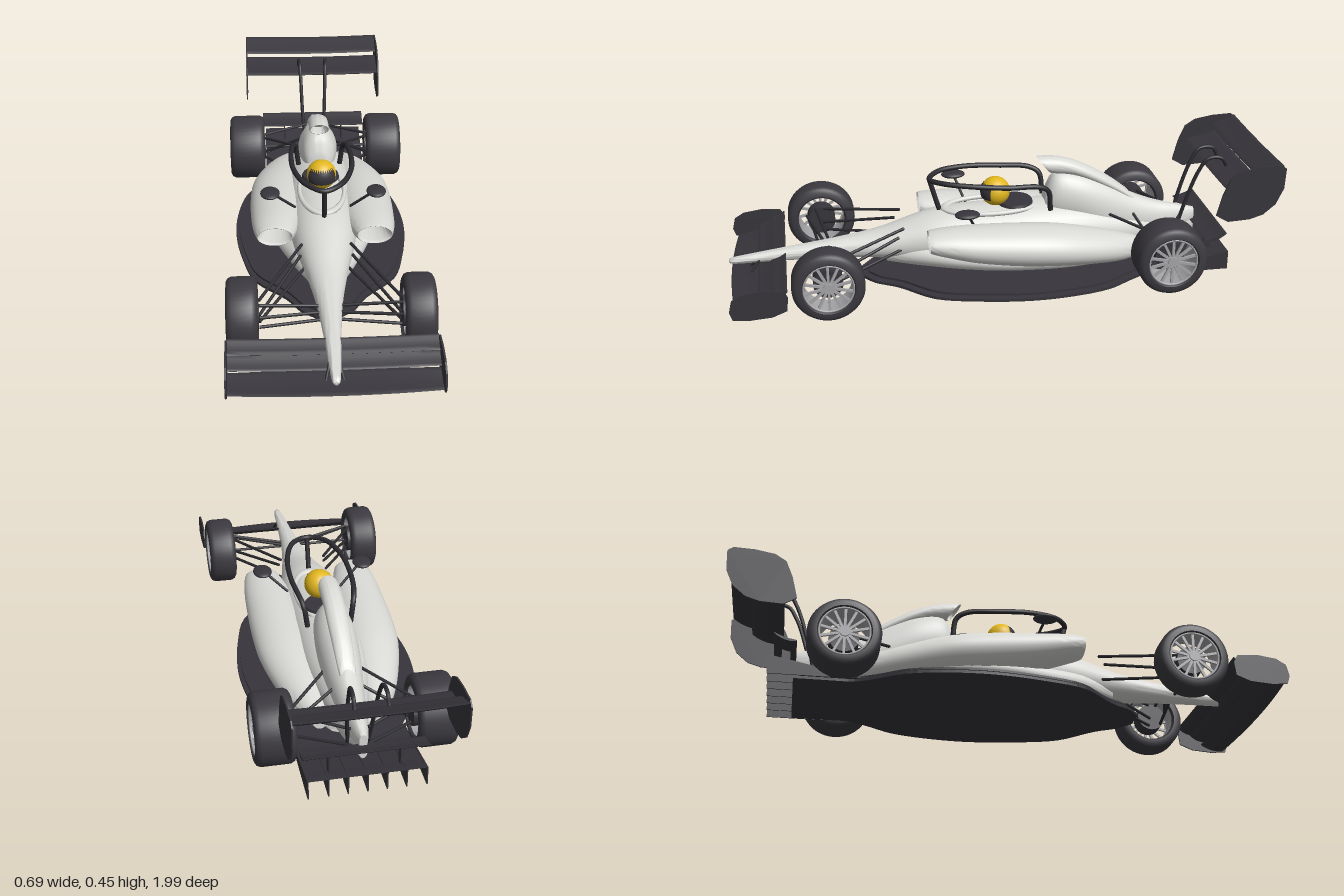
import * as THREE from 'three';
import { toCreasedNormals } from 'three/addons/utils/BufferGeometryUtils.js';

const V = (x, y, z) => new THREE.Vector3(x, y, z);
const SIDES = [-1, 1];

// Skin a series of closed loops, capped at both ends
function skin(rows, crease = 1.0) {
  const n = rows[0].length, pos = [], idx = [];
  rows.forEach(r => r.forEach(p => pos.push(p.x, p.y, p.z)));
  for (let i = 0; i < rows.length - 1; i++) for (let j = 0; j < n; j++) {
    const k = (j + 1) % n, a = i * n + j, b = i * n + k, c = a + n, d = b + n;
    idx.push(a, c, b, b, c, d);
  }
  [0, rows.length - 1].forEach((r, e) => {
    const m = rows[r].reduce((s, p) => s.add(p), V(0, 0, 0)).divideScalar(n);
    const id = pos.length / 3;
    pos.push(m.x, m.y, m.z);
    for (let j = 0; j < n; j++) {
      const a = r * n + j, b = r * n + (j + 1) % n;
      if (e) idx.push(id, b, a); else idx.push(id, a, b);
    }
  });
  const g = new THREE.BufferGeometry();
  g.setAttribute('position', new THREE.Float32BufferAttribute(pos, 3));
  g.setIndex(idx);
  return toCreasedNormals(g, crease);
}

// Body from sections [z, centreX, halfWidth, top, bottom]; rake leans each section back at its foot
function loft(sections, rake = 0, n = 36) {
  const curves = [];
  for (let i = 0; i < sections.length - 1; i++) {
    const at = k => sections[Math.min(sections.length - 1, Math.max(0, k))];
    const steps = 4;
    for (let s = 0; s < steps; s++) {
      const t = s / steps, [a, b, c, d] = [at(i - 1), at(i), at(i + 1), at(i + 2)];
      curves.push(b.map((v, k) => v + 0.5 * t * (c[k] - a[k] + t * (2 * a[k] - 5 * v + 4 * c[k] - d[k]
        + t * (3 * (v - c[k]) + d[k] - a[k])))));
    }
  }
  curves.push(sections[sections.length - 1]);
  return skin(curves.map(([z, cx, w, top, bot]) => Array.from({ length: n }, (_, j) => {
    const a = j / n * Math.PI * 2, y = (top + bot) / 2 + (top - bot) / 2 * Math.sin(a);
    return V(cx + w * Math.cos(a), y, z - rake * (top - y));
  })));
}

// Spanwise aerofoil between leading and trailing points [z, y]
function wing(lead, trail, half, thick, camber, lift = 0, sweep = 0) {
  const rows = [], n = 16;
  for (let i = 0; i <= 14; i++) {
    const f = 1 - i / 7, row = [];
    for (let j = 0; j < n; j++) {
      const a = j / n * Math.PI * 2, u = (1 + Math.cos(a)) / 2;
      row.push(V(f * half,
        lead[1] + (trail[1] - lead[1]) * u + thick / 2 * Math.sin(a) - camber * 4 * u * (1 - u) + lift * f * f,
        lead[0] + (trail[0] - lead[0]) * u - sweep * f * f * (1 - u)));
    }
    rows.push(row);
  }
  return skin(rows, 0.8);
}

// Upright plate from an outline of [z, y]
function plate(pts, x, t) {
  const g = new THREE.ExtrudeGeometry(new THREE.Shape(pts.map(p => new THREE.Vector2(...p))), { depth: t, bevelEnabled: false });
  return g.rotateY(-Math.PI / 2).translate(x + t / 2, 0, 0);
}

function rod(a, b, r) {
  const d = b.clone().sub(a), g = new THREE.CylinderGeometry(r, r, d.length(), 10);
  g.applyQuaternion(new THREE.Quaternion().setFromUnitVectors(V(0, 1, 0), d.normalize()));
  return g.translate((a.x + b.x) / 2, (a.y + b.y) / 2, (a.z + b.z) / 2);
}

const tube = (pts, r, seg = 60) => new THREE.TubeGeometry(new THREE.CatmullRomCurve3(pts), seg, r, 10);

export function createModel() {
  const car = new THREE.Group();
  const mat = (name, color, side = THREE.FrontSide) => {
    const m = new THREE.MeshStandardMaterial({ color, side });
    m.name = name;
    return m;
  };
  const paint = mat('light bodywork', 0xd8d8d5), carbon = mat('carbon', 0x37353b), rubber = mat('rubber', 0x3c3a40);
  const tubing = mat('dark tubing', 0x2b2b30), metal = mat('rim metal', 0xa6a6a9, THREE.DoubleSide);
  const yellow = mat('helmet yellow', 0xe2b71f);
  const add = (name, geo, m, parent = car) => {
    const o = new THREE.Mesh(geo, m);
    o.name = name;
    parent.add(o);
    return o;
  };

  // Nose and tub
  add('noseAndTub', loft([[.99, 0, .005, .106, .094], [.965, 0, .015, .113, .087], [.8, 0, .026, .135, .088],
    [.6, 0, .043, .16, .086], [.45, 0, .066, .184, .078], [.35, 0, .086, .214, .066], [.25, 0, .108, .243, .055],
    [.15, 0, .12, .255, .045], [0, 0, .125, .258, .04], [-.12, 0, .125, .262, .04], [-.3, 0, .115, .25, .04],
    [-.5, 0, .075, .2, .045], [-.65, 0, .04, .17, .06], [-.75, 0, .015, .155, .09]]), paint);
  // Undercut lower body
  add('lowerBody', loft([[.42, 0, .05, .13, .06], [.3, 0, .11, .16, .045], [.15, 0, .165, .16, .035], [0, 0, .205, .16, .032],
    [-.2, 0, .21, .15, .03], [-.35, 0, .175, .13, .03], [-.46, 0, .125, .11, .03], [-.54, 0, .07, .09, .04]]), paint);
  // Engine cover and raked airbox with hollow intake
  add('engineCover', loft([[-.17, 0, .04, .29, .2], [-.21, 0, .062, .365, .18], [-.3, 0, .074, .36, .15], [-.4, 0, .07, .32, .1],
    [-.5, 0, .058, .265, .08], [-.6, 0, .045, .225, .08], [-.7, 0, .028, .2, .1], [-.75, 0, .014, .185, .13]]), paint);
  add('airbox', loft([[-.21, 0, .022, .41, .375], [-.155, 0, .031, .425, .371], [-.146, 0, .037, .431, .365],
    [-.22, 0, .037, .426, .35], [-.3, 0, .037, .4, .31], [-.4, 0, .033, .345, .25], [-.48, 0, .028, .285, .2]], .8), paint);

  // Sidepods with hollow inlets
  for (const s of SIDES) {
    add('sidepod', loft([[.17, .165, .045, .222, .172], [.262, .175, .057, .232, .17], [.275, .176, .064, .238, .164],
      [.2, .172, .081, .243, .138], [.1, .165, .095, .24, .11], [-.05, .16, .103, .232, .085], [-.2, .15, .104, .215, .07],
      [-.35, .13, .086, .18, .055], [-.45, .115, .06, .15, .05], [-.53, .1, .025, .12, .06]].map(r => [r[0], s * r[1], r[2], r[3], r[4]])), paint);
  }

  // Floor: lower plank plate and smaller upper deck
  const half = new THREE.CatmullRomCurve3([[.04, .51], [.09, .47], [.14, .39], [.25, .27], [.295, .12], [.32, -.05], [.315, -.2],
    [.28, -.36], [.22, -.46], [.185, -.53], [.182, -.62]].map(p => V(p[0], p[1], 0))).getPoints(40);
  const floor = (k, y, t, tail) => {
    const r = [...half.map(p => [p.x * k, p.y * k]), [.182 * k, tail]];
    const pts = [...r, ...r.map(p => [-p[0], p[1]]).reverse()].map(p => new THREE.Vector2(...p));
    return new THREE.ExtrudeGeometry(new THREE.Shape(pts), { depth: t, bevelEnabled: false }).rotateX(Math.PI / 2).translate(0, y, 0);
  };
  add('floor', floor(1, .02, .01, -.74), carbon);
  add('floorDeck', floor(.96, .036, .008, -.72), carbon);

  // Diffuser, fences and beam wing
  add('diffuser', wing([-.52, .03], [-.83, .085], .2, .008, .012), carbon);
  for (const x of [-.198, -.13, -.065, 0, .065, .13, .198])
    add('diffuserFence', plate([[-.56, .03], [-.62, .015], [-.83, .015], [-.83, .085]], x, .004), carbon);
  add('beamWing', wing([-.735, .14], [-.815, .165], .21, .01, .008), carbon);
  for (const s of SIDES) add('beamWingStay', plate([[-.755, .07], [-.785, .07], [-.785, .155], [-.755, .145]], s * .12, .005), carbon);

  // Front wing
  [[[.985, .047], [.875, .068], .02], [[.887, .073], [.828, .1], 0], [[.84, .1], [.785, .125], 0]].forEach(([a, b, sweep], i) =>
    add('frontWingElement' + (i + 1), wing(a, b, .34, .01, .006, i ? .006 : -.004, sweep), carbon));
  for (const s of SIDES) {
    add('frontWingEndplate', plate([[.975, .04], [.985, .07], [.975, .112], [.94, .133], [.87, .143], [.8, .137], [.784, .11],
      [.79, .06], [.84, .04], [.92, .034]], s * .342, .006), carbon);
    add('frontWingPylon', rod(V(s * .03, .05, .92), V(s * .015, .105, .88), .005), tubing);
  }

  // Rear wing on swan-neck supports
  add('rearWingMain', wing([-.79, .35], [-.912, .38], .272, .018, .01, .004), carbon);
  add('rearWingFlap', wing([-.893, .402], [-.988, .44], .272, .012, .005, .005), carbon);
  for (const s of SIDES) {
    add('rearWingEndplate', plate([[-.745, .27], [-.765, .35], [-.79, .41], [-.83, .435], [-.9, .447], [-.975, .45], [-.995, .435],
      [-.992, .36], [-.965, .3], [-.92, .262], [-.87, .247], [-.79, .243]], s * .274, .005), carbon);
    add('rearWingSupport', tube([V(s * .035, .1, -.67), V(s * .045, .22, -.7), V(s * .05, .35, -.745), V(s * .053, .4, -.78),
      V(s * .055, .4, -.83), V(s * .055, .37, -.85)], .007, 40), tubing);
  }

  // Cockpit rim, headrest and halo
  add('cockpitRim', new THREE.TorusGeometry(1, .1, 10, 48).rotateX(Math.PI / 2).scale(.082, .09, .17).translate(0, .25, .03), paint);
  add('headrest', new THREE.CylinderGeometry(.066, .07, .012, 32).scale(1, 1, .95).translate(0, .262, -.062), carbon);
  const side = [V(.078, .25, -.18), V(.09, .33, -.168), V(.1, .352, -.13), V(.11, .36, -.02), V(.1, .37, .11), V(.06, .373, .215)];
  add('halo', tube([...side, V(0, .368, .255), ...side.map(p => V(-p.x, p.y, p.z)).reverse()], .0095, 120), tubing);
  add('haloPillar', rod(V(0, .368, .255), V(0, .245, .22), .009), tubing);

  // Helmet with saw-toothed visor band
  const head = new THREE.Group();
  head.name = 'helmet';
  head.position.set(0, .306, .012);
  car.add(head);
  add('helmetShell', new THREE.SphereGeometry(.054, 40, 28), yellow, head);
  const R = .0555, teeth = 24, visor = new THREE.SphereGeometry(R, teeth, 8, Math.PI / 2 - 1.1, 2.2, 1.1, .86), vp = visor.attributes.position;
  for (let i = 1; i < teeth; i += 2) {
    const p = V(0, 0, 0).fromBufferAttribute(vp, i), q = new THREE.Spherical().setFromVector3(p);
    q.phi -= .28;
    p.setFromSpherical(q);
    vp.setXYZ(i, p.x, p.y, p.z);
  }
  add('visor', visor, carbon, head);

  // Mirrors and suspension
  for (const s of SIDES) {
    add('mirror', new THREE.SphereGeometry(1, 24, 16).scale(.035, .0125, .045).translate(s * .19, .303, .143), carbon);
    add('mirrorStalk', rod(V(s * .178, .297, .14), V(s * .1, .225, .11), .005), tubing);
    const P = (x, y, z) => V(s * x, y, z);
    const arms = [
      [P(.235, .175, .635), P(.085, .218, .36)], [P(.235, .175, .665), P(.04, .145, .63)],
      [P(.235, .09, .635), P(.075, .13, .37)], [P(.235, .15, .7), P(.03, .125, .64)],
      [P(.235, .12, .64), P(.09, .185, .38)], [P(.235, .1, .68), P(.03, .11, .66)],
      [P(.21, .175, -.56), P(.06, .21, -.4)], [P(.21, .175, -.585), P(.03, .17, -.69)],
      [P(.21, .09, -.56), P(.08, .09, -.42)], [P(.21, .09, -.585), P(.03, .11, -.7)],
      [P(.21, .127, -.575), P(.03, .127, -.575)], [P(.21, .11, -.56), P(.05, .2, -.5)]];
    arms.forEach(([a, b]) => add('suspensionArm', rod(a, b, .0055), tubing));
  }

  // Wheels
  const wheel = (name, x, z, w) => {
    const g = new THREE.Group(), h = w / 2, s = Math.sign(x);
    g.name = name;
    const prof = [[.088, -h + .008], [.094, -h], [.11, -h + .001], [.121, -h + .007], [.127, -h + .02]];
    const all = [...prof, ...prof.map(p => [p[0], -p[1]]).reverse(), prof[0]].map(p => new THREE.Vector2(...p));
    add('tyre', toCreasedNormals(new THREE.LatheGeometry(all, 48), .7).rotateZ(Math.PI / 2), rubber, g);
    add('rimBarrel', new THREE.CylinderGeometry(.087, .087, w - .018, 40, 1, true).rotateZ(Math.PI / 2), metal, g);
    add('rimLip', new THREE.TorusGeometry(.087, .004, 8, 40).rotateY(Math.PI / 2).translate(s * (h - .008), 0, 0), metal, g);
    for (let i = 0; i < 14; i++)
      add('spoke', new THREE.BoxGeometry(.008, .072, .009).translate(s * (h - .018), .05, 0).rotateX(i / 14 * Math.PI * 2), metal, g);
    add('hub', new THREE.CylinderGeometry(.018, .018, .02, 20).rotateZ(Math.PI / 2).translate(s * (h - .018), 0, 0), metal, g);
    add('brakeDrum', new THREE.CylinderGeometry(.052, .052, w * .6, 28).rotateZ(Math.PI / 2).translate(-s * w * .22, 0, 0), carbon, g);
    g.position.set(x, .127, z);
    car.add(g);
  };
  for (const s of SIDES) {
    wheel('frontWheel', s * .291, .645, .105);
    wheel('rearWheel', s * .275, -.577, .14);
  }
  return car;
}
